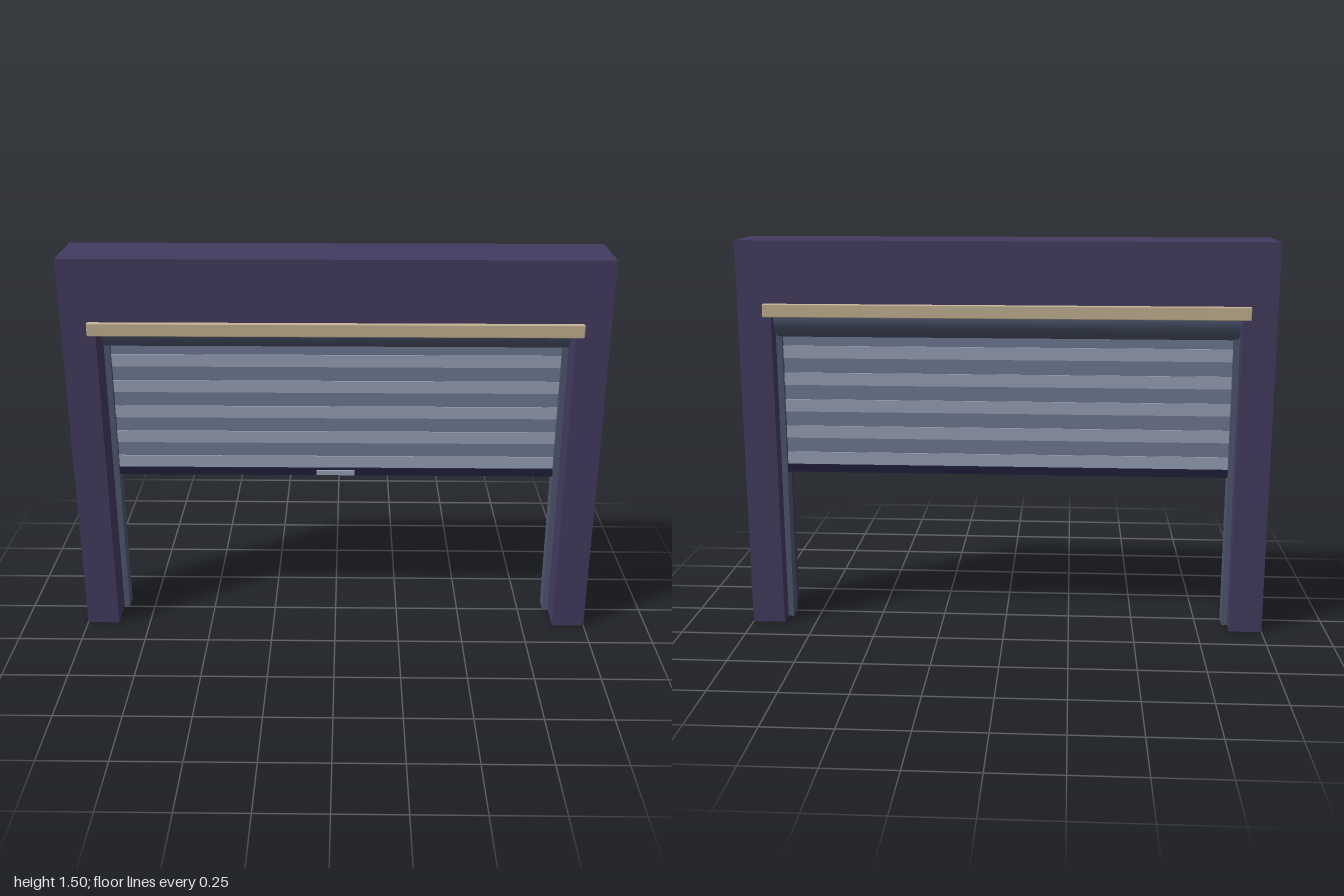
import * as THREE from 'three';
import { RoundedBoxGeometry } from 'three/addons/geometries/RoundedBoxGeometry.js';

const mat = (name, color) => new THREE.MeshStandardMaterial({ name, color });

export function createModel() {
  const wall = mat('wall purple', 0x433b60);
  const trim = mat('trim beige', 0xc3b293);
  const steel = mat('guide grey', 0x4f5770);
  const slatLight = mat('light slat', 0x98a2b6);
  const slatDark = mat('dark slat', 0x6f7a93);
  const barDark = mat('bottom bar navy', 0x1f1d3a);

  const model = new THREE.Group();
  model.name = 'rollerShutterDoor';
  const add = (name, geometry, material, x, y, z, parent = model) => {
    const mesh = new THREE.Mesh(geometry, material);
    mesh.name = name;
    mesh.position.set(x, y, z);
    parent.add(mesh);
    return mesh;
  };
  const box = (w, h, d) => new THREE.BoxGeometry(w, h, d);

  // Portal: two posts and a lintel in one outline
  const outline = new THREE.Shape([
    [-1, 0], [-0.875, 0], [-0.875, 1.25], [0.875, 1.25],
    [0.875, 0], [1, 0], [1, 1.5], [-1, 1.5],
  ].map(([x, y]) => new THREE.Vector2(x, y)));
  const portal = new THREE.ExtrudeGeometry(outline, { depth: 0.25, bevelEnabled: false });
  add('portal', portal, wall, 0, 0, -0.125);

  // Trim rails along the lintel, front and back
  for (const s of [1, -1]) {
    add(s > 0 ? 'frontTrim' : 'backTrim', new RoundedBoxGeometry(1.806, 0.05, 0.02, 1, 0.004),
      trim, 0, 1.242, s * 0.134);
  }

  // Centre plane of the curtain, guides and drum
  const z = -0.03;

  // Guide rails on the inner faces of the posts
  for (const s of [1, -1]) {
    add(s > 0 ? 'leftGuide' : 'rightGuide', box(0.022, 1.15, 0.062), steel, s * 0.864, 0.575, z);
  }

  // Roller drum under the lintel
  const drum = new THREE.CylinderGeometry(0.082, 0.082, 1.74, 32);
  drum.rotateZ(Math.PI / 2);
  add('rollerDrum', drum, steel, 0, 1.212, z);

  // Curtain of alternating raised and recessed slats
  const curtain = new THREE.Group();
  curtain.name = 'curtain';
  model.add(curtain);
  const period = 0.1045, raised = 0.048, recessed = period - raised;
  for (let i = 0; i < 5; i++) {
    const y = 0.63 + i * period;
    add('raisedSlat', box(1.71, raised, 0.03), slatLight, 0, y + raised / 2, z, curtain);
    add('recessedSlat', box(1.71, recessed, 0.02), slatDark, 0, y + raised + recessed / 2, z, curtain);
  }

  // Bottom bar with a pull handle on the front
  add('bottomBar', box(1.706, 0.03, 0.045), barDark, 0, 0.615, z);
  add('pullHandle', box(0.15, 0.018, 0.012), slatLight, 0, 0.614, z + 0.0275);

  return model;
}
